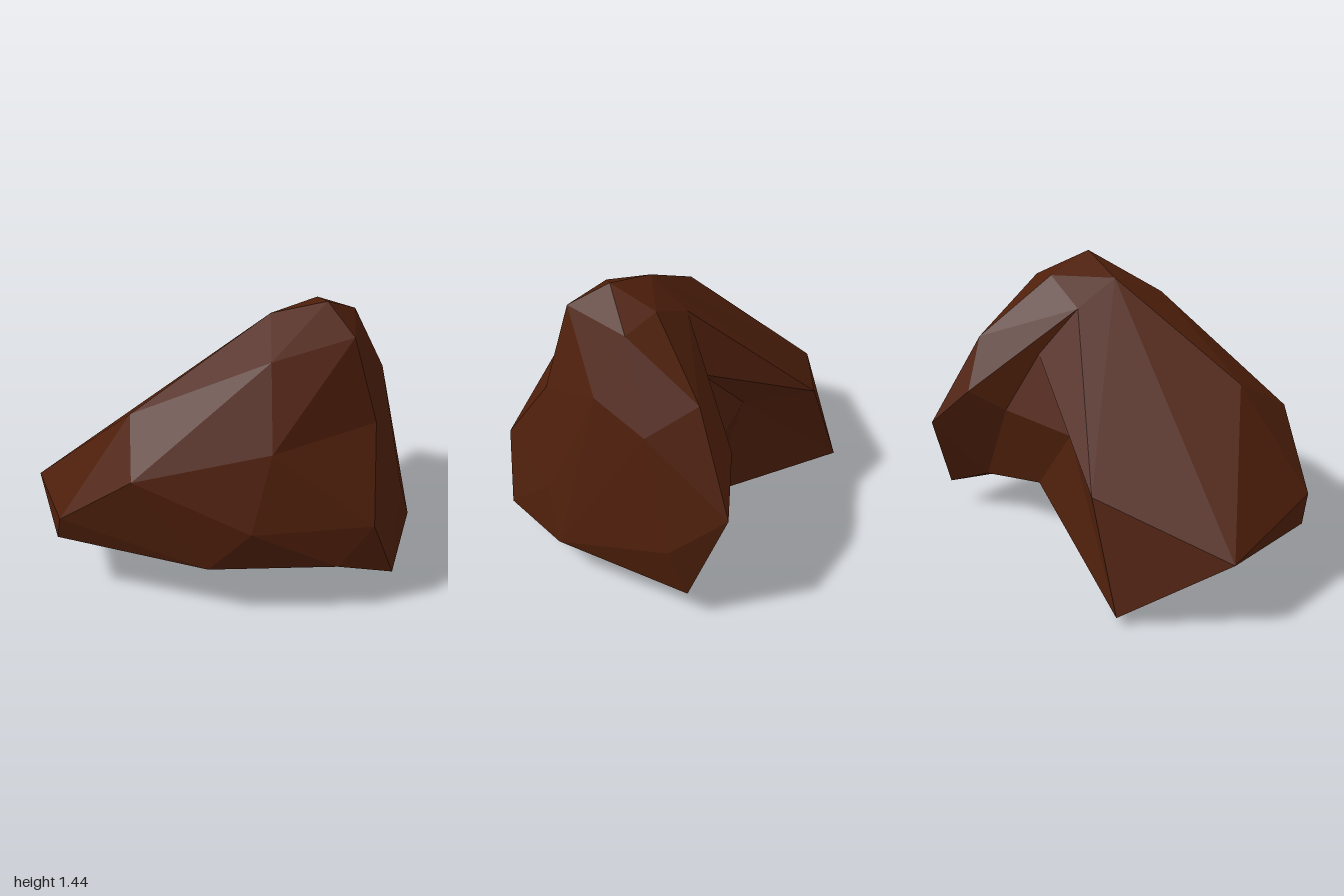
import * as THREE from 'three';
import { ConvexGeometry } from 'three/addons/geometries/ConvexGeometry.js';

const V = (x, y, z) => new THREE.Vector3(x, y, z);

export function createModel() {
  const group = new THREE.Group();
  group.name = 'rock';
  const stone = new THREE.MeshStandardMaterial({ color: 0x4e1f0b, flatShading: true });
  stone.name = 'brown stone';

  // each part is a faceted convex block
  const addBlock = (name, points) => {
    const mesh = new THREE.Mesh(new ConvexGeometry(points), stone);
    mesh.name = name;
    group.add(mesh);
  };

  // corners of the cleft in the back
  const cleftTop = V(0.23, 1.25, -0.09);
  const cleftMiddle = V(0.4, 1.01, -0.2);
  const cleftLeftWall = V(0.55, 0.7, -0.3);
  const cleftRightWall = V(0.12, 0.68, -0.36);
  const cleftBase = V(0.39, 0.29, -0.25);

  // corners of the back and underside
  const backShoulder = V(-0.2, 0.58, -0.69);
  const backTip = V(-0.4, 0.04, -0.81);
  const lowestPoint = V(-0.37, 0, -0.15);
  const underside = V(0.4, 0.155, 0.38);
  const backFoot = V(0.74, 0.245, -0.23);
  const core = V(0.3, 0.6, 0.1);

  // corners of the front
  const ridgeMiddle = V(0.49, 0.89, 0.555);
  const ridgeNose = V(0.34, 0.48, 0.82);
  const frontFoot = V(0.16, 0.28, 0.79);
  const rightBrow = V(-0.11, 0.88, 0.6);
  const rightCheek = V(-0.26, 0.52, 0.68);
  const rightFoot = V(-0.42, 0.28, 0.53);
  const leftFoot = [V(0.7, 0.45, 0.5), V(0.81, 0.2, 0.43), V(0.63, 0.13, 0.43)];

  // crest shared by both lobes
  const seam = [
    V(0.13, 1.37, 0.11), V(0.37, 1.44, 0.25), V(0.41, 1.32, 0.45),
    ridgeMiddle, underside, cleftTop,
  ];

  addBlock('rightLobe', [
    ...seam, cleftRightWall, backShoulder, backTip, lowestPoint,
    rightBrow, rightCheek, rightFoot,
    // upper slope
    V(0, 1.24, 0.37), V(-0.61, 0.96, 0.06), V(-0.73, 0.76, 0.35),
    // side
    V(-1, 0.46, 0.05), V(-1, 0.32, -0.01), V(-0.9, 0.36, -0.58),
  ]);

  addBlock('leftLobe', [
    ...seam, cleftMiddle, cleftLeftWall, backFoot, ...leftFoot,
    // shoulder
    V(0.45, 1.36, 0.01), V(0.61, 1.31, 0.12), V(0.73, 1.06, -0.25),
    V(0.85, 0.93, -0.02), V(0.71, 1.02, 0.25),
    // back edge and side
    V(0.71, 0.81, -0.4), V(0.94, 0.59, -0.43), V(1, 0.4, -0.16), V(0.98, 0.145, -0.25),
  ]);

  // lower front, on either side of the ridge
  addBlock('rightFrontBase', [
    rightBrow, ridgeMiddle, ridgeNose, frontFoot, rightCheek, rightFoot,
    lowestPoint, underside, core,
  ]);
  addBlock('leftFrontBase', [
    ridgeMiddle, ridgeNose, frontFoot, V(0.49, 0.14, 0.78), ...leftFoot, underside, core,
  ]);

  // walls and floor of the cleft
  addBlock('backWedge', [backTip, lowestPoint, underside, cleftBase, cleftRightWall, core]);
  addBlock('cleftEdge', [backShoulder, cleftTop, cleftMiddle, cleftRightWall, core]);
  addBlock('cleftFloor', [cleftTop, cleftMiddle, cleftLeftWall, cleftRightWall, cleftBase, core]);
  addBlock('cleftWall', [cleftLeftWall, backFoot, cleftBase, underside, core]);

  return group;
}
